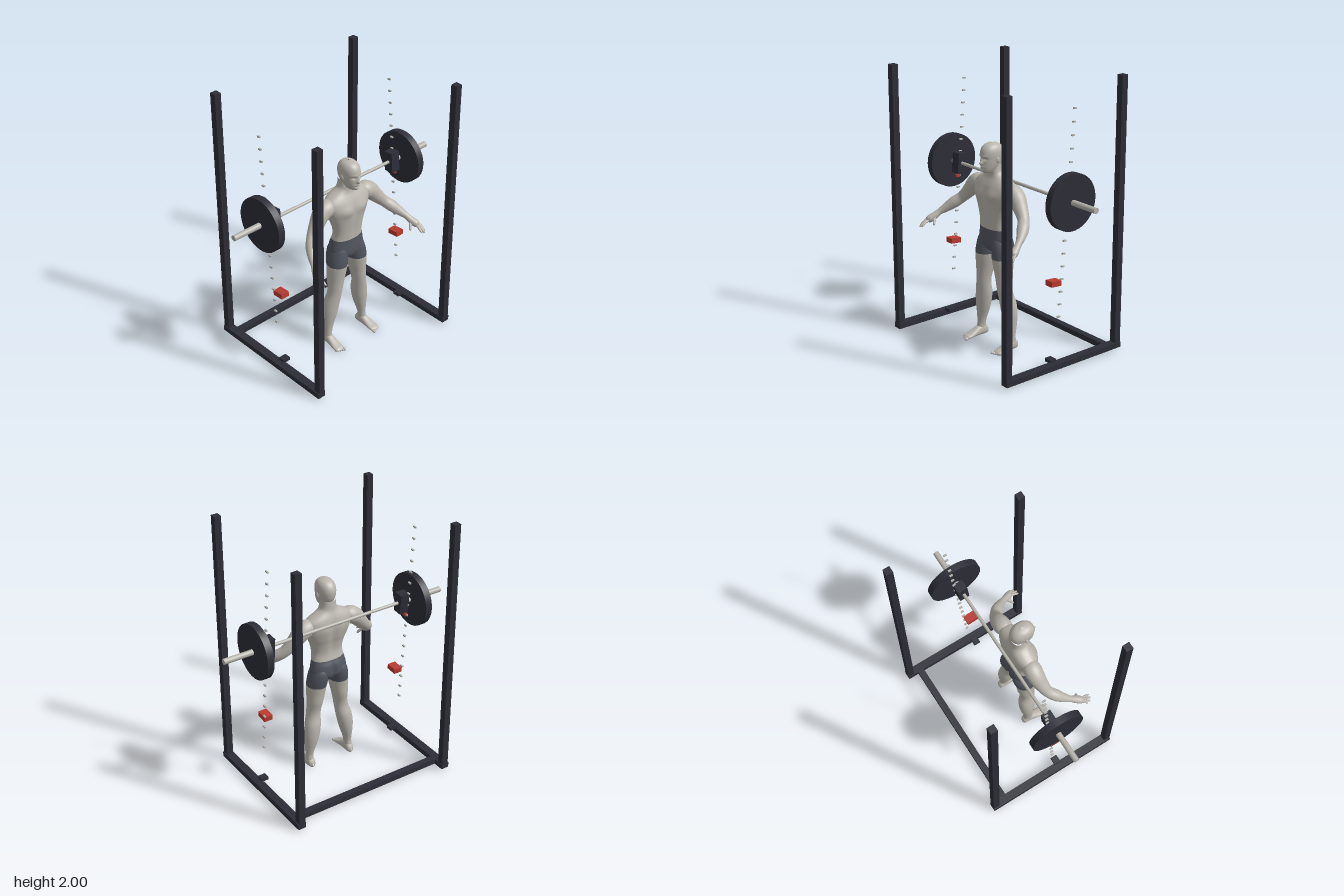
import * as THREE from 'three';
import { mergeVertices } from 'three/addons/utils/BufferGeometryUtils.js';

const mat = (name, color) => Object.assign(new THREE.MeshStandardMaterial({ color }), { name });

// Weld seams and smooth the normals
function smooth(geo) {
  geo.deleteAttribute('uv');
  geo.deleteAttribute('normal');
  const g = mergeVertices(geo, 1e-5);
  g.computeVertexNormals();
  return g;
}

// Cubic interpolation of a table whose first column is the position
function sample(table, y) {
  const last = table.length - 1;
  let i = 0;
  while (i < last - 1 && y > table[i + 1][0]) i++;
  const a = table[i], b = table[i + 1], h = b[0] - a[0], t = (y - a[0]) / h;
  const p = table[Math.max(i - 1, 0)], q = table[Math.min(i + 2, last)];
  return a.map((v, k) => {
    const m0 = (b[k] - p[k]) / (b[0] - p[0]) * h, m1 = (q[k] - v) / (q[0] - a[0]) * h;
    return v + t * (m0 + t * (3 * (b[k] - v) - 2 * m0 - m1 + t * (2 * (v - b[k]) + m0 + m1)));
  });
}

// Stack of rounded rings. Rows: [y, centreX, halfWidth, zBack, zFront]
// Bumps: [x, y, side (+1 front, -1 back), height, spreadX, spreadY]
function loft(table, y0, y1, rows, { side = 1, power = 0.9, bumps = [], segs = 56 } = {}) {
  const pos = [], idx = [];
  const pow = (v) => Math.sign(v) * Math.abs(v) ** power;
  for (let r = 0; r <= rows; r++) {
    const y = y0 + (y1 - y0) * r / rows;
    const [, cx, rx, zb, zf] = sample(table, y);
    for (let j = 0; j < segs; j++) {
      const a = j / segs * Math.PI * 2, s = Math.sin(a);
      const dx = rx * pow(Math.cos(a));
      let z = (zb + zf) / 2 + (zf - zb) / 2 * pow(s);
      for (const [bx, by, dir, h, sx, sy] of bumps) {
        const ux = (Math.abs(dx) - bx) / sx, uy = (y - by) / sy;
        z += dir * h * Math.max(0, dir * s) * Math.exp(-ux * ux - uy * uy);
      }
      pos.push(cx * side + dx, y, z);
      if (r < rows) {
        const p = r * segs + j, q = r * segs + (j + 1) % segs;
        idx.push(p, p + segs, q, q, p + segs, q + segs);
      }
    }
  }
  const g = new THREE.BufferGeometry();
  g.setAttribute('position', new THREE.Float32BufferAttribute(pos, 3));
  g.setIndex(idx);
  g.computeVertexNormals();
  return g;
}

// Tube of changing radius. Points: [x, y, z, radius]
function limb(points, side, n = 30, m = 20) {
  const curve = new THREE.CatmullRomCurve3(points.map(([x, y, z]) => new THREE.Vector3(x * side, y, z)));
  const radii = points.map((p, i) => [i, p[3]]);
  const g = new THREE.TubeGeometry(curve, n, 1, m);
  const v = new THREE.Vector3(), pos = g.attributes.position;
  for (let i = 0; i <= n; i++) {
    const c = curve.getPointAt(i / n);
    const r = Math.max(0.0005, sample(radii, curve.getUtoTmapping(i / n) * (points.length - 1))[1]);
    for (let j = 0; j <= m; j++) {
      const k = i * (m + 1) + j;
      v.fromBufferAttribute(pos, k).sub(c).multiplyScalar(r).add(c);
      pos.setXYZ(k, v.x, v.y, v.z);
    }
  }
  return smooth(g);
}

const TORSO = [
  [0.71, 0, 0.03, 0.06, 0.13], [0.735, 0, 0.08, 0.03, 0.165], [0.77, 0, 0.135, 0.008, 0.178],
  [0.80, 0, 0.143, 0.005, 0.18], [0.85, 0, 0.135, 0.012, 0.178], [0.89, 0, 0.126, 0.028, 0.176],
  [0.95, 0, 0.121, 0.038, 0.18], [1.02, 0, 0.136, 0.028, 0.187], [1.08, 0, 0.16, 0.012, 0.193],
  [1.15, 0, 0.185, 0.002, 0.195], [1.20, 0, 0.19, 0.004, 0.182], [1.235, 0, 0.165, 0.012, 0.165],
  [1.26, 0, 0.12, 0.022, 0.152], [1.285, 0, 0.075, 0.032, 0.148], [1.31, 0, 0.061, 0.036, 0.15],
  [1.36, 0, 0.055, 0.04, 0.14],
];
const HEAD = [
  [1.297, 0, 0.004, 0.14, 0.18], [1.303, 0, 0.03, 0.11, 0.2], [1.32, 0, 0.043, 0.08, 0.21],
  [1.34, 0, 0.052, 0.06, 0.212], [1.37, 0, 0.06, 0.04, 0.212], [1.40, 0, 0.064, 0.032, 0.212],
  [1.43, 0, 0.066, 0.03, 0.214], [1.46, 0, 0.063, 0.038, 0.207], [1.485, 0, 0.052, 0.056, 0.19],
  [1.50, 0, 0.034, 0.08, 0.165], [1.508, 0, 0.003, 0.115, 0.125],
];
const LEG = [
  [0.04, 0.172, 0.028, 0.05, 0.125], [0.07, 0.172, 0.028, 0.05, 0.125], [0.10, 0.17, 0.029, 0.056, 0.122],
  [0.15, 0.165, 0.036, 0.048, 0.125], [0.22, 0.155, 0.05, 0.034, 0.135], [0.29, 0.146, 0.059, 0.028, 0.145],
  [0.36, 0.135, 0.06, 0.032, 0.152], [0.43, 0.122, 0.053, 0.05, 0.16], [0.48, 0.115, 0.053, 0.05, 0.165],
  [0.55, 0.107, 0.06, 0.036, 0.17], [0.62, 0.099, 0.068, 0.03, 0.178], [0.68, 0.093, 0.073, 0.022, 0.184],
  [0.74, 0.085, 0.073, 0.01, 0.182], [0.80, 0.075, 0.065, 0.01, 0.174], [0.84, 0.065, 0.05, 0.03, 0.16],
];
// Rows run along z here: [z, centreX, halfWidth, -top, -bottom]
const FOOT = [
  [0.034, 0.17, 0.004, -0.04, -0.02], [0.042, 0.17, 0.022, -0.06, -0.008], [0.07, 0.171, 0.029, -0.085, -0.003],
  [0.11, 0.173, 0.031, -0.082, -0.003], [0.16, 0.176, 0.035, -0.056, -0.002], [0.20, 0.178, 0.038, -0.037, -0.001],
  [0.23, 0.178, 0.034, -0.026, -0.002], [0.24, 0.178, 0.02, -0.016, -0.008],
];
const ARM = [
  [0.12, 1.17, 0.09, 0.03], [0.17, 1.18, 0.09, 0.062], [0.225, 1.155, 0.09, 0.063], [0.28, 1.095, 0.1, 0.053],
  [0.34, 1.03, 0.122, 0.041], [0.385, 0.985, 0.165, 0.042], [0.425, 0.94, 0.218, 0.031], [0.446, 0.914, 0.255, 0.023],
  [0.46, 0.89, 0.285, 0.026], [0.476, 0.868, 0.318, 0.028], [0.482, 0.858, 0.335, 0.02], [0.484, 0.854, 0.342, 0.001],
];

export function createModel() {
  const root = new THREE.Group();
  root.name = 'liftingRack';
  const frame = mat('charcoal frame', 0x2c2d37), skin = mat('pale skin', 0xbab6ae);
  const cloth = mat('slate shorts', 0x52565f), red = mat('red safety', 0xb93a30), metal = mat('steel', 0xb3b1a9);

  const add = (name, geo, material, x = 0, y = 0, z = 0) => {
    const m = new THREE.Mesh(geo, material);
    m.name = name;
    m.position.set(x, y, z);
    root.add(m);
    return m;
  };
  const box = (name, material, w, h, d, x, y, z) => add(name, new THREE.BoxGeometry(w, h, d), material, x, y, z);
  const rod = (name, material, r, len, x, y, z) =>
    add(name, new THREE.CylinderGeometry(r, r, len, 48).rotateZ(Math.PI / 2), material, x, y, z);

  // Crossbar and bar
  box('rearCrossbar', frame, 1.2, 0.04, 0.05, 0, 0.037, -0.417);
  rod('barShaft', metal, 0.012, 1.24, 0, 1.21, -0.02);

  // Torso, head and shorts
  const bodyBumps = [
    [0.075, 1.135, 1, 0.013, 0.055, 0.04], [0, 1.14, 1, -0.008, 0.012, 0.06], [0, 1.0, 1, -0.005, 0.01, 0.09],
    [0, 1.08, -1, -0.014, 0.025, 0.13], [0.08, 1.15, -1, 0.004, 0.04, 0.05], [0, 0.79, -1, -0.02, 0.014, 0.06],
  ];
  add('torso', loft(TORSO, 0.89, 1.36, 44, { bumps: bodyBumps }), skin);
  add('shortsHips', loft(TORSO, 0.71, 0.89, 20, { bumps: bodyBumps }), cloth);
  add('head', loft(HEAD, 1.297, 1.508, 56, {
    power: 0.95, segs: 72, bumps: [
      [0, 1.372, 1, 0.022, 0.011, 0.013], [0, 1.395, 1, 0.011, 0.008, 0.018], [0.026, 1.403, 1, -0.011, 0.013, 0.01],
      [0.025, 1.42, 1, 0.004, 0.02, 0.008], [0, 1.346, 1, 0.008, 0.017, 0.007], [0, 1.333, 1, -0.004, 0.018, 0.005],
      [0, 1.313, 1, 0.006, 0.016, 0.01],
    ],
  }), skin);

  for (const side of [1, -1]) {
    // Uprights and floor rails
    for (const z of [0.5, -0.5]) box('upright', frame, 0.05, 1.95, 0.05, side * 0.625, 1.025, z);
    box('floorRail', frame, 0.062, 0.04, 1.05, side * 0.627, 0.035, 0);
    box('railBracket', frame, 0.06, 0.025, 0.05, side * 0.58, 0.06, 0.075);

    // Weights and bar sleeves
    rod('barSleeve', metal, 0.021, 0.305, side * 0.7525, 1.21, -0.02);
    rod('weightPlate', frame, 0.2, 0.052, side * 0.656, 1.21, -0.02);

    // Leaning line of pins, bar hook and safety stop
    for (let i = 0; i < 17; i++) {
      box('pin', metal, 0.012, 0.011, 0.024, side * 0.596, 0.375 + i * 0.0906, 0.02 - i * 0.0075).rotation.x = -0.083;
    }
    box('barHook', frame, 0.073, 0.152, 0.074, side * 0.563, 1.208, -0.02).rotation.x = -0.083;
    box('hookPin', red, 0.022, 0.02, 0.03, side * 0.594, 1.1, -0.025);
    box('safetyStop', red, 0.065, 0.038, 0.087, side * 0.563, 0.62, 0.04).rotation.x = -0.083;

    // Legs and feet
    add('leg', loft(LEG, 0.04, 0.68, 48, { side, power: 1, segs: 36 }), skin);
    add('shortsLeg', loft(LEG, 0.68, 0.84, 14, { side, power: 1, segs: 36 }), cloth);
    add('foot', loft(FOOT, 0.034, 0.24, 28, { side, segs: 32 }).rotateX(Math.PI / 2), skin);
    for (let i = 0; i < 5; i++) {
      const r = 0.011 - i * 0.001;
      add('toe', new THREE.SphereGeometry(r, 14, 10), skin, side * (0.15 + i * 0.0148), r, 0.244 - i * 0.006)
        .scale.z = 1.5;
    }

    // Ears
    const ear = add('ear', new THREE.SphereGeometry(0.02, 16, 12), skin, side * 0.065, 1.392, 0.122);
    ear.scale.set(0.35, 1.1, 0.65);
    ear.rotation.y = -side * 0.3;

    // Arms, fingers and thumbs
    add('arm', limb(ARM, side, 70, 28), skin);
    const digit = (name, [ax, ay, az], [bx, by, bz], r) => {
      const at = (t, rad) => [ax + (bx - ax) * t, ay + (by - ay) * t + 0.006 * Math.sin(t * Math.PI), az + (bz - az) * t, rad];
      add(name, limb([at(0, r), at(0.5, r), at(0.9, r * 0.8), at(0.97, r * 0.5), at(1, 0.0005)], side, 16, 10), skin);
    };
    digit('finger', [0.492, 0.872, 0.315], [0.514, 0.828, 0.36], 0.0085);
    digit('finger', [0.488, 0.867, 0.322], [0.508, 0.818, 0.385], 0.009);
    digit('finger', [0.48, 0.863, 0.326], [0.488, 0.818, 0.402], 0.009);
    digit('finger', [0.47, 0.862, 0.324], [0.464, 0.826, 0.4], 0.009);
    digit('thumb', [0.458, 0.885, 0.285], [0.416, 0.832, 0.325], 0.011);
  }
  return root;
}
